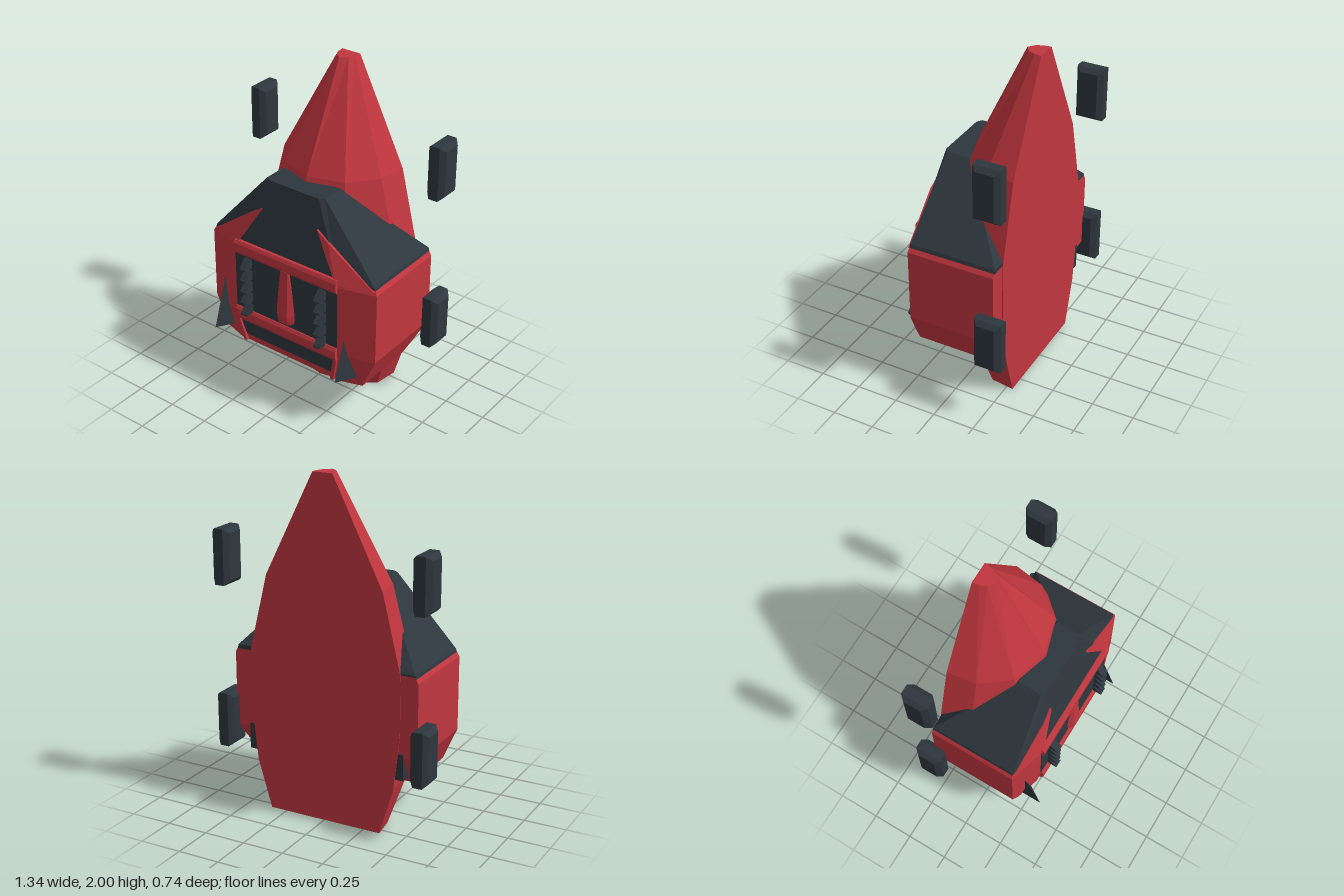
import * as THREE from 'three';
import { ConvexGeometry } from 'three/addons/geometries/ConvexGeometry.js';

const red = new THREE.MeshStandardMaterial({ color: 0xc1363e, flatShading: true });
red.name = 'red';
const dark = new THREE.MeshStandardMaterial({ color: 0x2e373e, flatShading: true });
dark.name = 'charcoal';

// Faceted solid through mirrored cross-sections: [y, [[x, z] from back to front]]
function loft(sections) {
  const rings = sections.map(([y, half]) => {
    const mirrored = half.filter(([x]) => x > 0).reverse().map(([x, z]) => [-x, z]);
    return [...half, ...mirrored].map(([x, z]) => [x, y, z]);
  });
  const n = rings[0].length, last = rings[rings.length - 1], pos = [];
  const tri = (a, b, c) => pos.push(...a, ...b, ...c);
  for (let r = 0; r < rings.length - 1; r++) {
    const a = rings[r], b = rings[r + 1];
    for (let i = 0; i < n; i++) {
      const j = (i + 1) % n;
      tri(a[i], b[i], a[j]);
      tri(a[j], b[i], b[j]);
    }
  }
  for (let i = 1; i < n - 1; i++) {
    tri(rings[0][0], rings[0][i], rings[0][i + 1]);
    tri(last[0], last[i + 1], last[i]);
  }
  const g = new THREE.BufferGeometry();
  g.setAttribute('position', new THREE.Float32BufferAttribute(pos, 3));
  g.computeVertexNormals();
  return g;
}

const convex = (points) => new ConvexGeometry(points.map((p) => new THREE.Vector3(...p)));

export function createModel() {
  const model = new THREE.Group();
  const add = (name, geometry, material, x = 0, y = 0, z = 0) => {
    const mesh = new THREE.Mesh(geometry, material);
    mesh.name = name;
    mesh.position.set(x, y, z);
    model.add(mesh);
    return mesh;
  };
  const box = (name, mat, w, y0, y1, z0, z1) =>
    add(name, new THREE.BoxGeometry(w, y1 - y0, z1 - z0), mat, 0, (y0 + y1) / 2, (z0 + z1) / 2);

  // Pointed hull with a flat back
  add('hull', loft([
    [0, [[0.35, -0.29], [0.33, -0.15], [0.2, -0.05], [0, -0.015]]],
    [0.285, [[0.435, -0.29], [0.42, -0.1], [0.24, 0.12], [0, 0.18]]],
    [0.6, [[0.47, -0.29], [0.455, -0.1], [0.27, 0.14], [0, 0.21]]],
    [0.95, [[0.47, -0.29], [0.45, -0.11], [0.27, 0.12], [0, 0.2]]],
    [1.4, [[0.36, -0.29], [0.335, -0.12], [0.21, 0.04], [0, 0.105]]],
    [2, [[0.06, -0.29], [0.055, -0.25], [0.04, -0.21], [0, -0.18]]],
  ]), red);

  // Main body, tapered towards its underside
  add('body', loft([
    [0.285, [[0.49, -0.15], [0.49, 0.235], [0.36, 0.275]]],
    [0.36, [[0.522, -0.22], [0.522, 0.24], [0.36, 0.285]]],
    [0.48, [[0.575, -0.285], [0.575, 0.24], [0.36, 0.3]]],
    [0.92, [[0.575, -0.285], [0.575, 0.24], [0.36, 0.3]]],
    [0.955, [[0.555, -0.285], [0.555, 0.235], [0.36, 0.295]]],
  ]), red);
  box('rearCore', dark, 0.98, 0.345, 0.5, -0.286, -0.15);

  // Sloping hood
  add('hood', loft([
    [0.94, [[0.562, -0.285], [0.562, 0.236], [0.36, 0.296]]],
    [0.965, [[0.555, -0.285], [0.555, 0.234], [0.353, 0.293]]],
    [1.37, [[0.2, 0.06], [0.2, 0.2], [0.17, 0.22]]],
  ]), dark);

  // Pointed fender tips lying on the hood
  for (const s of [-1, 1]) {
    const outline = [[0.56, 0.94, 0.246], [0.35, 0.94, 0.31], [0.27, 1.155, 0.269], [0.19, 1.205, 0.262]];
    add('fenderTip', convex(outline.flatMap(([x, y, z]) => [[s * x, y, z], [s * x, y, z - 0.04]])), red);
  }

  // Grille panel, frame bars and lower intake
  box('grillePanel', dark, 0.72, 0.52, 0.89, 0.297, 0.304);
  for (const y of [0.44, 0.885]) {
    const bar = [[y, 0.31], [y + 0.02, 0.32], [y + 0.065, 0.32], [y + 0.085, 0.31], [y, 0.27], [y + 0.085, 0.27]];
    add('grilleBar', convex(bar.flatMap(([py, z]) => [[-0.36, py, z], [0.36, py, z]])), red);
  }
  const intake = [];
  for (const s of [-1, 1]) {
    for (const d of [0.005, -0.003]) {
      intake.push([s * 0.34, 0.445, 0.295 + d], [s * 0.31, 0.33, 0.281 + d]);
    }
  }
  add('lowerIntake', convex(intake), dark);
  for (const s of [-1, 1]) {
    add('intakeRib', convex([0.28, 0.312].flatMap((z) => [
      [s * 0.34, 0.445, z], [s * 0.362, 0.445, z],
      [s * 0.305, 0.285, z - 0.02], [s * 0.327, 0.285, z - 0.02],
    ])), red);
  }

  // Central nose ridge
  add('noseRidge', convex([
    ...[-1, 1].flatMap((s) => [
      [s * 0.035, 0.89, 0.3], [s * 0.025, 0.89, 0.315],
      [s * 0.068, 0.62, 0.3], [s * 0.03, 0.6, 0.333],
      [s * 0.065, 0.56, 0.3], [s * 0.03, 0.55, 0.325],
    ]),
  ]), red);

  // Rows of wedge teeth
  for (const s of [-1, 1]) {
    for (let i = 0; i < 5; i++) {
      add('tooth', convex([-0.023, 0.023].flatMap((x) => [
        [x, 0, 0.3], [x, 0.055, 0.3], [x, 0.06, 0.315], [x, 0, 0.363], [x, 0.008, 0.363],
      ])), dark, s * 0.262, 0.517 + i * 0.075, 0);
    }
  }

  // Lower fangs
  const fang = convex([[0, 0.345, 0.37], [0, 0.345, 0.22], [0.08, 0.345, 0.24], [0, 0.65, 0.268]]);
  for (const x of [-0.48, 0.396]) add('fang', fang, dark, x);

  // Four bevelled wheel pods
  const pod = loft([
    [-0.055, [[0.135, -0.053], [0.135, 0.053]]],
    [-0.028, [[0.16, -0.082], [0.16, 0.082]]],
    [0.028, [[0.16, -0.082], [0.16, 0.082]]],
    [0.055, [[0.135, -0.053], [0.135, 0.053]]],
  ]);
  pod.rotateZ(Math.PI / 2);
  for (const s of [-1, 1]) {
    for (const y of [0.522, 1.482]) add('wheelPod', pod, dark, s * 0.615, y, -0.287);
  }
  return model;
}
